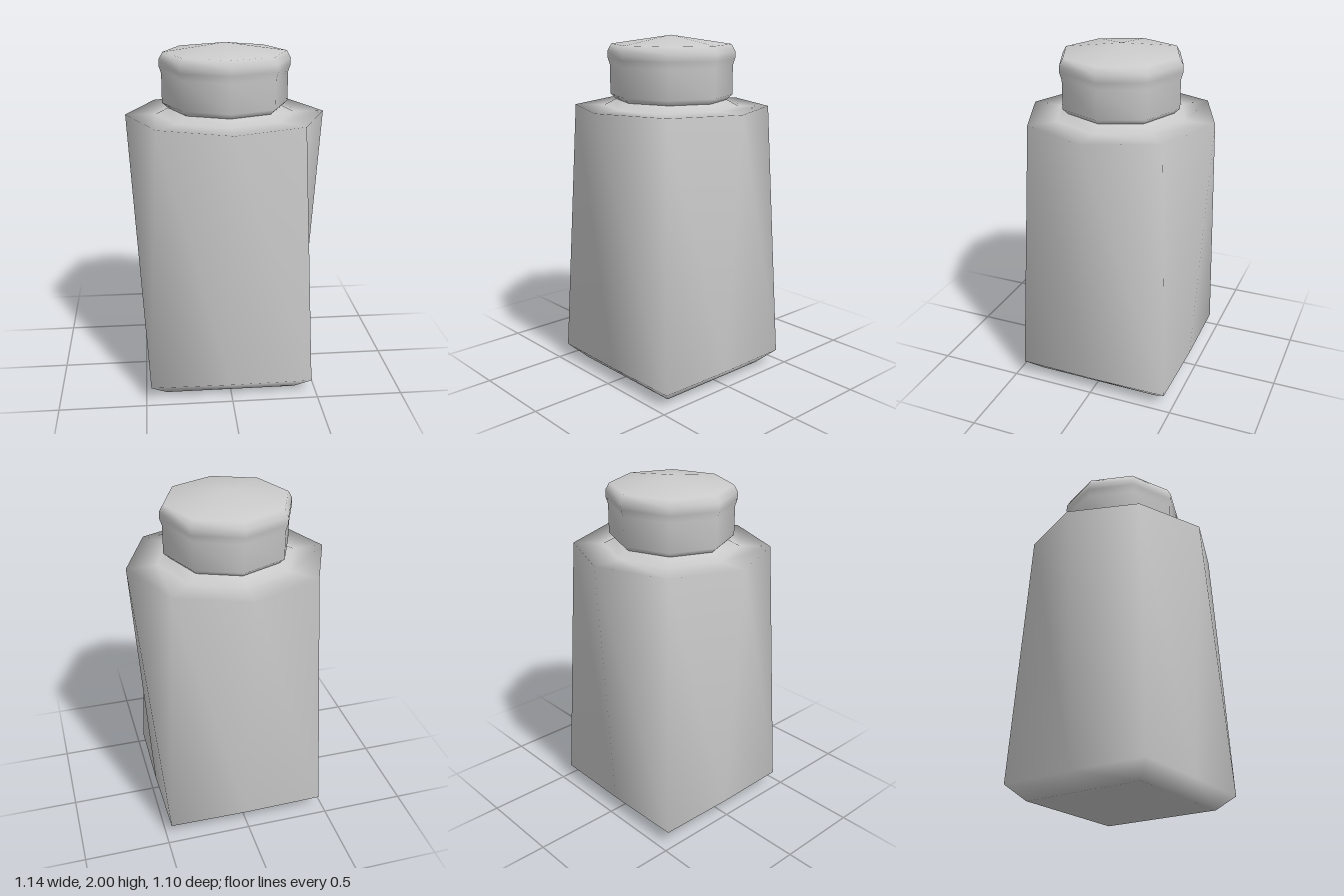
import * as THREE from 'three';

const SIDES = 8;
const DEPTH = 0.965; // slightly narrower front to back

// Octagonal ring: side = reach along the axes, corner = x of the diagonal points
function ring(y, side, corner = side * Math.SQRT1_2) {
  const points = [];
  for (let i = 0; i < SIDES; i++) {
    const a = (i / SIDES) * Math.PI * 2;
    const r = i % 2 ? corner * Math.SQRT2 : side;
    points.push([r * Math.cos(a), y, r * Math.sin(a) * DEPTH]);
  }
  return points;
}

// Smooth skin over stacked rings, closed by a centre point at bottom and/or top
function loft(name, rings, { bottom, top }, material) {
  const points = rings.flat();
  const index = [];
  const at = (k, i) => k * SIDES + (i % SIDES);
  for (let k = 0; k < rings.length - 1; k++) {
    for (let i = 0; i < SIDES; i++) {
      index.push(at(k, i), at(k + 1, i), at(k + 1, i + 1));
      index.push(at(k, i), at(k + 1, i + 1), at(k, i + 1));
    }
  }
  if (bottom !== undefined) {
    const c = points.push([0, bottom, 0]) - 1;
    for (let i = 0; i < SIDES; i++) index.push(c, at(0, i), at(0, i + 1));
  }
  if (top !== undefined) {
    const c = points.push([0, top, 0]) - 1;
    const k = rings.length - 1;
    for (let i = 0; i < SIDES; i++) index.push(at(k, i), c, at(k, i + 1));
  }
  const geometry = new THREE.BufferGeometry();
  geometry.setAttribute('position', new THREE.Float32BufferAttribute(points.flat(), 3));
  geometry.setIndex(index);
  geometry.computeVertexNormals();
  const mesh = new THREE.Mesh(geometry, material);
  mesh.name = name;
  return mesh;
}

export function createModel() {
  const group = new THREE.Group();
  group.name = 'jar';
  const material = new THREE.MeshStandardMaterial({ color: 0xcccccc });

  // Body: square chamfered foot twisting into an octagonal shoulder
  group.add(loft('body', [
    ring(0, 0.38, 0.38),
    ring(0.085, 0.477, 0.47),
    ring(1.6, 0.57),
    ring(1.6, 0.395),
    ring(1.635, 0.327),
  ], { bottom: 0 }, material));

  // Lid: octagonal band with a rolled rim and a shallow peak
  group.add(loft('lid', [
    ring(1.635, 0.327),
    ring(1.665, 0.36),
    ring(1.83, 0.36),
    ring(1.87, 0.373),
    ring(1.91, 0.373),
    ring(1.95, 0.35),
  ], { top: 2 }, material));

  return group;
}
